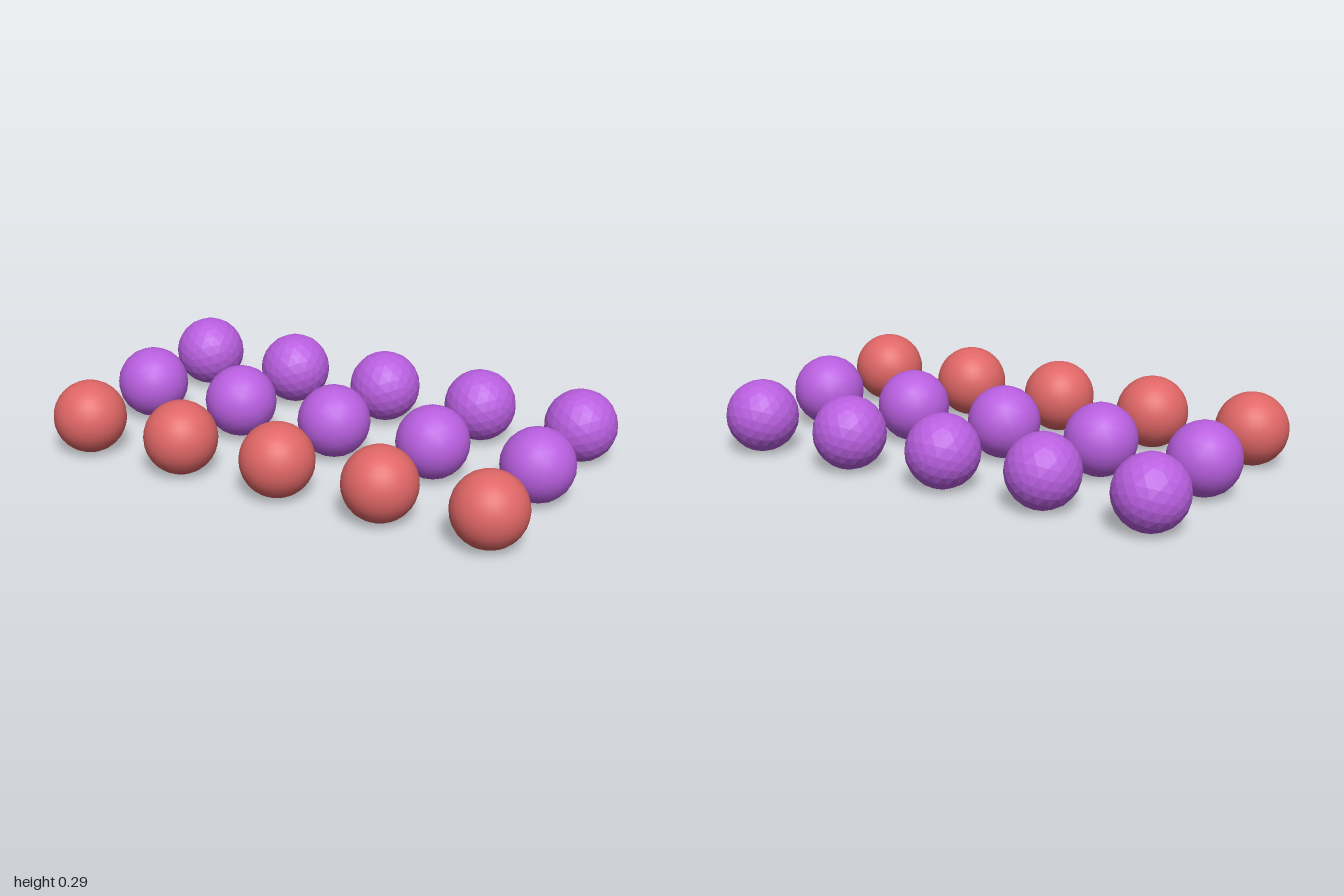
import * as THREE from 'three';

const RADIUS = 1 / 7;
const SPACING = 3 * RADIUS;

export function createModel() {
  const group = new THREE.Group();
  const red = new THREE.MeshStandardMaterial({ color: 0xe06666 });
  const purple = new THREE.MeshStandardMaterial({ color: 0xb95fe0 });
  const facetedPurple = new THREE.MeshStandardMaterial({ color: 0xb95fe0, flatShading: true });

  const latLongBall = new THREE.SphereGeometry(RADIUS, 32, 16);
  const icoBall = new THREE.IcosahedronGeometry(RADIUS, 3);
  // Turn one corner of the icosahedron to the top
  icoBall.rotateX(-Math.atan(2 / (1 + Math.sqrt(5))));

  // Rows from front to back
  const rows = [
    { name: 'frontRedBall', geometry: latLongBall, material: red, z: SPACING },
    { name: 'middleSmoothBall', geometry: icoBall, material: purple, z: 0 },
    { name: 'backFacetedBall', geometry: icoBall, material: facetedPurple, z: -SPACING },
  ];

  for (const { name, geometry, material, z } of rows) {
    const row = new THREE.Group();
    row.name = name + 'Row';
    for (let i = 0; i < 5; i++) {
      const ball = new THREE.Mesh(geometry, material);
      ball.name = name + (i + 1);
      ball.position.set((i - 2) * SPACING, RADIUS, z);
      row.add(ball);
    }
    group.add(row);
  }
  return group;
}
